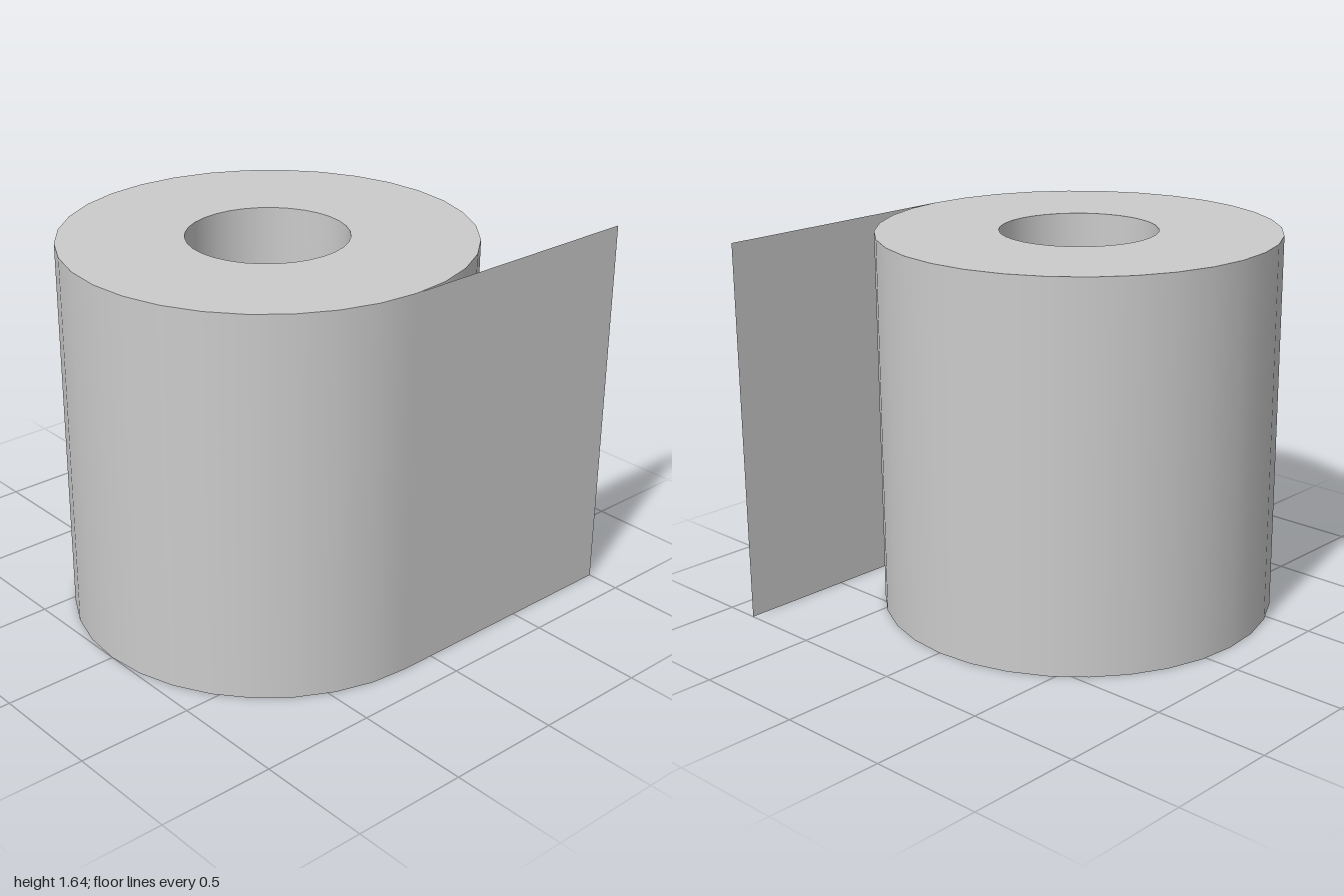
import * as THREE from 'three';
import { mergeGeometries } from 'three/addons/utils/BufferGeometryUtils.js';

const HEIGHT = 1.645;
const OUTER = 0.853;
const INNER = 0.335;
const CENTRE_X = -0.147;
const SEGMENTS = 32;

export function createModel() {
  const group = new THREE.Group();
  group.name = 'paperRoll';

  // Hollow roll: each profile edge is its own lathe, so the rims stay sharp
  const profile = [[OUTER, 0], [OUTER, HEIGHT], [INNER, HEIGHT], [INNER, 0]]
    .map(([x, y]) => new THREE.Vector2(x, y));
  const bands = profile.map((p, i) =>
    new THREE.LatheGeometry([p, profile[(i + 1) % profile.length]], SEGMENTS));
  const roll = new THREE.Mesh(
    mergeGeometries(bands),
    new THREE.MeshStandardMaterial({ color: 0xcccccc }));
  roll.name = 'roll';
  roll.position.x = CENTRE_X;
  group.add(roll);

  // Loose sheet leaving the roll along its front tangent
  const length = 1 - CENTRE_X;
  const sheet = new THREE.Mesh(
    new THREE.PlaneGeometry(length, HEIGHT),
    new THREE.MeshStandardMaterial({ color: 0xcccccc, side: THREE.DoubleSide }));
  sheet.name = 'looseSheet';
  sheet.position.set(CENTRE_X + length / 2, HEIGHT / 2, OUTER);
  group.add(sheet);

  return group;
}
